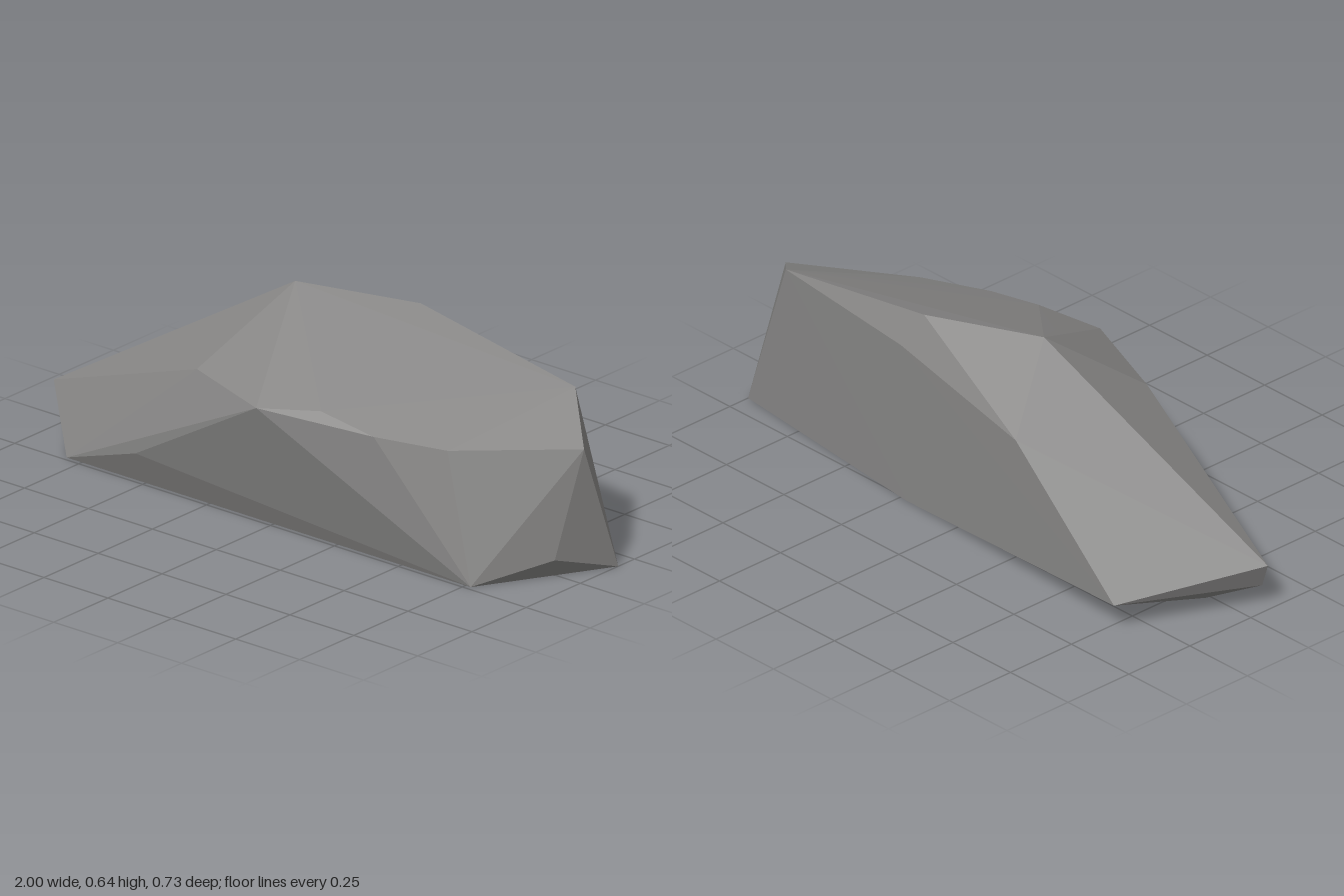
import * as THREE from 'three';
import { ConvexGeometry } from 'three/addons/geometries/ConvexGeometry.js';

// A faceted boulder: the hull of a few hand-placed corners
export function createModel() {
  const stone = new THREE.MeshStandardMaterial({ color: 0x888786, flatShading: true });
  stone.name = 'grey stone';

  const corners = [
    // base
    [-0.81, 0, 0.235], [0.77, 0, 0.235], [1, 0, -0.175], [0.22, 0, -0.26], [-0.82, 0, -0.015],
    // left-hand tip and low back corner
    [-1, 0.15, 0.07], [-0.97, 0.07, 0.075], [-0.79, 0.095, -0.363],
    // low bulges
    [-0.5, 0.11, 0.283], [0.93, 0.066, 0.035],
    // front shoulder
    [-0.3, 0.42, 0.235], [0.04, 0.424, 0.363], [0.24, 0.447, 0.3], [0.44, 0.415, 0.293],
    [0.66, 0.403, 0.212], [0.985, 0.417, -0.035],
    // crest
    [-0.17, 0.645, -0.065], [-0.06, 0.567, 0.085], [0.2, 0.626, -0.208], [0.815, 0.524, -0.195],
    // back shoulder
    [0.25, 0.52, -0.256], [-0.31, 0.445, -0.313],
  ].map((p) => new THREE.Vector3(...p));

  const rock = new THREE.Mesh(new ConvexGeometry(corners), stone);
  rock.name = 'rock';

  const group = new THREE.Group();
  group.name = 'boulder';
  group.add(rock);
  return group;
}
